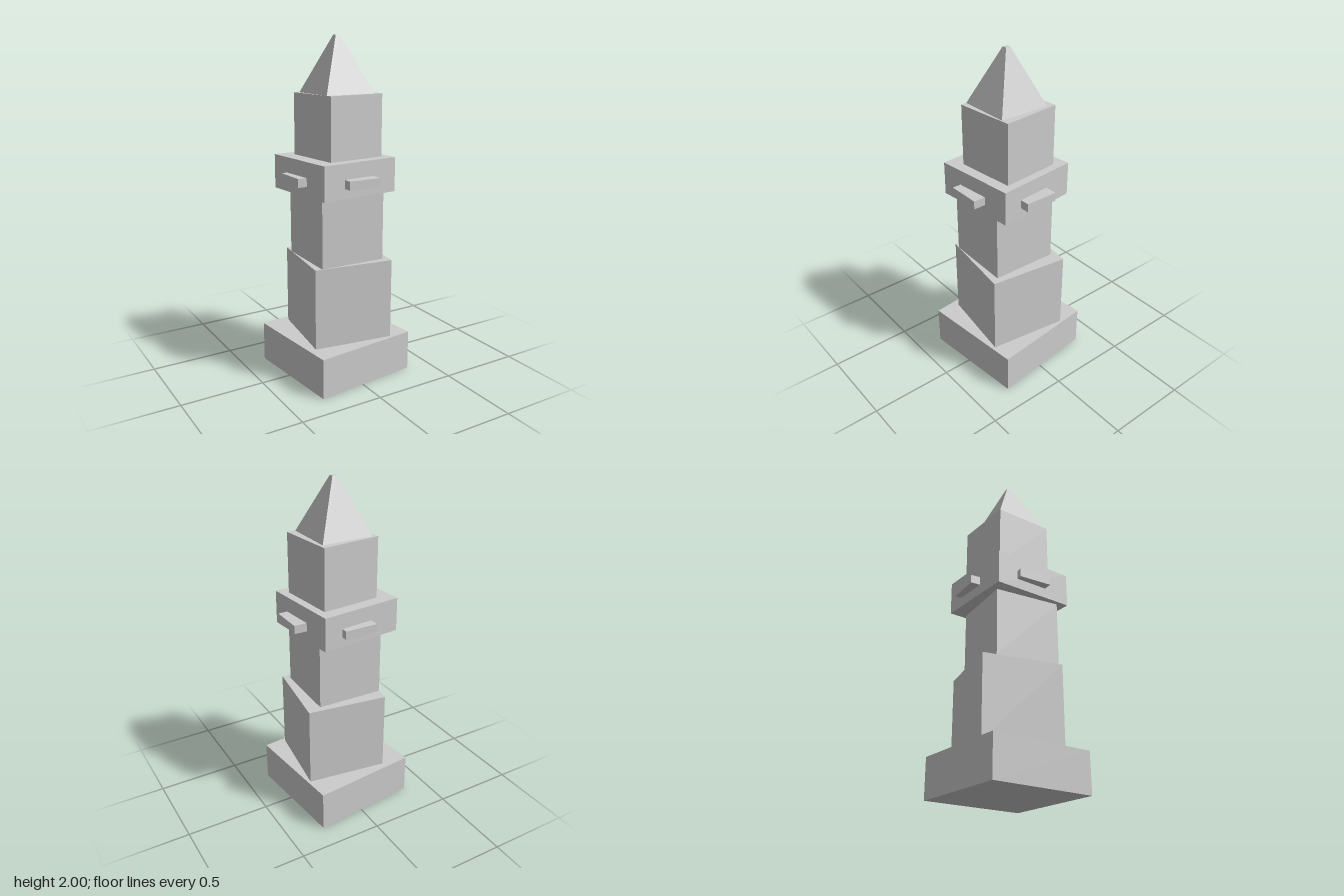
import * as THREE from 'three';

export function createModel() {
  const model = new THREE.Group();
  const stone = new THREE.MeshStandardMaterial({ color: 0xcccccc });
  stone.name = 'grey stone';

  function add(name, geometry, x, y, z, turn = 0) {
    const mesh = new THREE.Mesh(geometry, stone);
    mesh.name = name;
    mesh.position.set(x, y, z);
    mesh.rotation.y = turn;
    model.add(mesh);
  }

  // Stacked square blocks, each slightly twisted and off centre:
  // name, width, bottom, top, x, z, turn
  const blocks = [
    ['base', 0.64, 0, 0.24, 0, 0, 0.102],
    ['lowerTower', 0.48, 0.24, 0.72, 0.015, 0.008, -0.137],
    ['middleTower', 0.4, 0.72, 1.12, -0.007, 0.024, -0.028],
    ['gallery', 0.5, 1.12, 1.32, -0.009, 0.0065, 0.098],
    ['upperTower', 0.36, 1.32, 1.68, 0.013, 0.0085, 0.097],
  ];
  for (const [name, w, y0, y1, x, z, turn] of blocks) {
    add(name, new THREE.BoxGeometry(w, y1 - y0, w), x, (y0 + y1) / 2, z, turn);
  }

  // Straight-set ledges and spire share one centre
  const cx = 0.003, cz = 0.0125;

  // One ledge on each side of the gallery
  ['frontLedge', 'leftLedge', 'backLedge', 'rightLedge'].forEach((name, i) => {
    const a = (i * Math.PI) / 2;
    const ledge = new THREE.BoxGeometry(0.2, 0.05, 0.1);
    add(name, ledge, cx + Math.sin(a) * 0.257, 1.205, cz + Math.cos(a) * 0.257, a);
  });

  // Four-sided spire with a small flat tip
  const spire = new THREE.CylinderGeometry(0.014 * Math.SQRT2, 0.1555 * Math.SQRT2, 0.32, 4, 1)
    .rotateY(Math.PI / 4).toNonIndexed();
  spire.computeVertexNormals();
  add('spire', spire, cx, 1.84, cz);

  return model;
}
